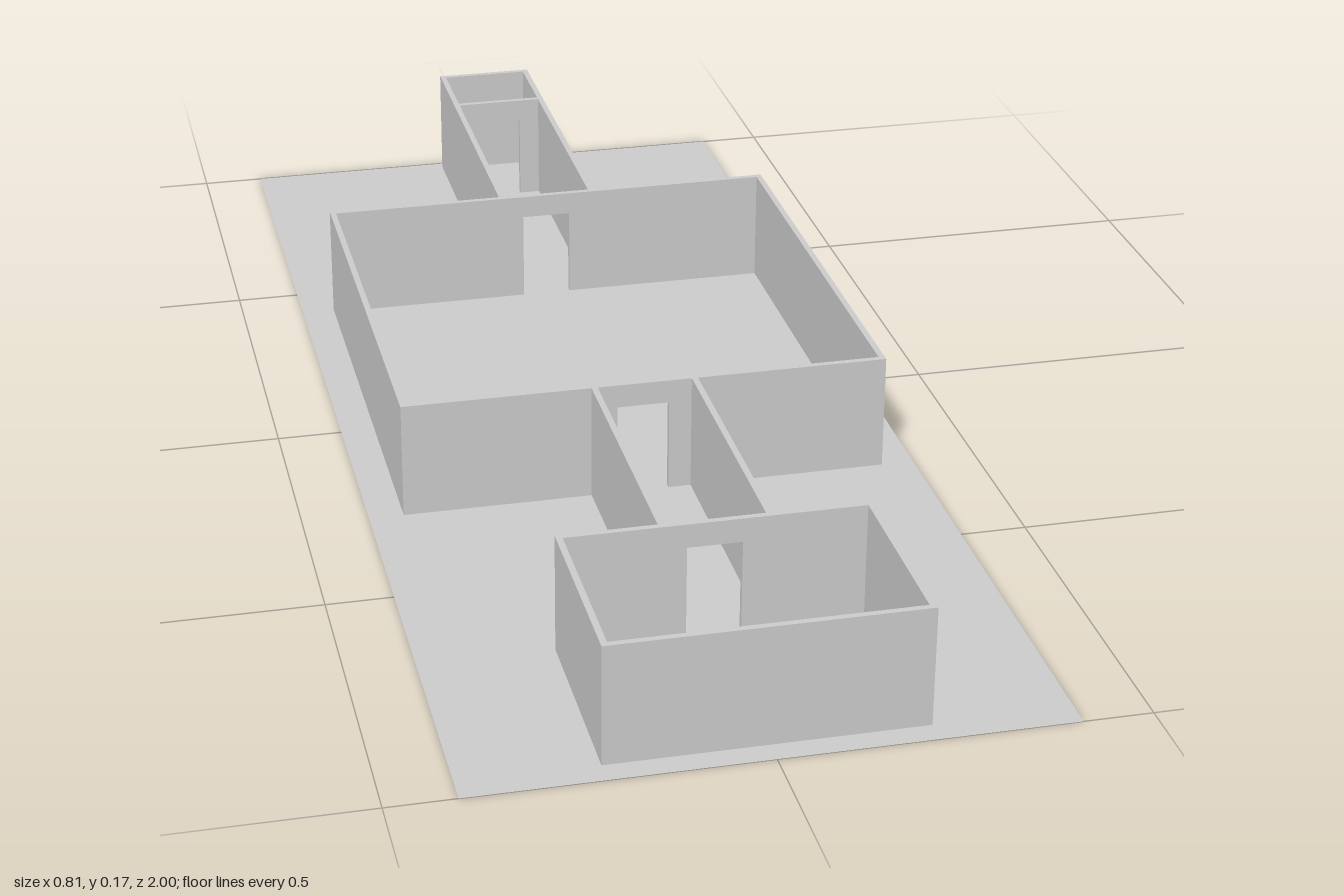
import * as THREE from 'three';

const HEIGHT = 0.173;
const T = 0.009; // wall thickness
const DOOR = { left: -0.042, right: 0.034, top: 0.138 };

export function createModel() {
  const model = new THREE.Group();
  const material = new THREE.MeshStandardMaterial({ color: 0xcccccc, flatShading: true });

  // Wall running along z, from z0 to z1, with its low x face at x
  function sideWall(parent, name, x, z0, z1) {
    const wall = new THREE.Mesh(new THREE.BoxGeometry(T, HEIGHT, z1 - z0), material);
    wall.position.set(x + T / 2, HEIGHT / 2, (z0 + z1) / 2);
    wall.name = name;
    parent.add(wall);
  }

  // Wall running along x, from x0 to x1, with its low z face at z and an optional doorway
  function crossWall(parent, name, x0, x1, z, hasDoor) {
    const outline = new THREE.Shape();
    outline.moveTo(x0, 0);
    if (hasDoor) {
      outline.lineTo(DOOR.left, 0);
      outline.lineTo(DOOR.left, DOOR.top);
      outline.lineTo(DOOR.right, DOOR.top);
      outline.lineTo(DOOR.right, 0);
    }
    outline.lineTo(x1, 0);
    outline.lineTo(x1, HEIGHT);
    outline.lineTo(x0, HEIGHT);
    outline.closePath();
    const wall = new THREE.Mesh(
      new THREE.ExtrudeGeometry(outline, { depth: T, bevelEnabled: false }), material);
    wall.position.z = z;
    wall.name = name;
    parent.add(wall);
  }

  // Walled room or corridor; front and back are 'solid', 'door' or absent
  function room({ name, x0, x1, z0, z1, front, back }) {
    const group = new THREE.Group();
    group.name = name;
    const sideStart = back ? z0 + T : z0;
    const sideEnd = front ? z1 - T : z1;
    sideWall(group, 'rightWall', x0, sideStart, sideEnd);
    sideWall(group, 'leftWall', x1 - T, sideStart, sideEnd);
    if (back) crossWall(group, 'backWall', x0, x1, z0, back === 'door');
    if (front) crossWall(group, 'frontWall', x0, x1, z1 - T, front === 'door');
    model.add(group);
    return group;
  }

  // Flat ground sheet
  const groundMaterial = material.clone();
  groundMaterial.side = THREE.DoubleSide;
  const floor = new THREE.Mesh(new THREE.PlaneGeometry(0.81, 2), groundMaterial);
  floor.rotation.x = -Math.PI / 2;
  floor.name = 'floor';
  model.add(floor);

  // Rooms and the corridors that join them
  room({ name: 'frontRoom', x0: -0.218, x1: 0.214, z0: 0.682, z1: 0.966, front: 'solid', back: 'door' });
  room({ name: 'frontCorridor', x0: -0.08, x1: 0.076, z0: 0.274, z1: 0.682 });
  room({ name: 'mainHall', x0: -0.355, x1: 0.357, z0: -0.431, z1: 0.274, front: 'door', back: 'door' });
  const rear = room({ name: 'backCorridor', x0: -0.08, x1: 0.076, z0: -0.985, z1: -0.431, back: 'solid' });

  // Partition closing off the small end room
  crossWall(rear, 'partition', -0.08 + T, 0.076 - T, -0.849, true);

  return model;
}
